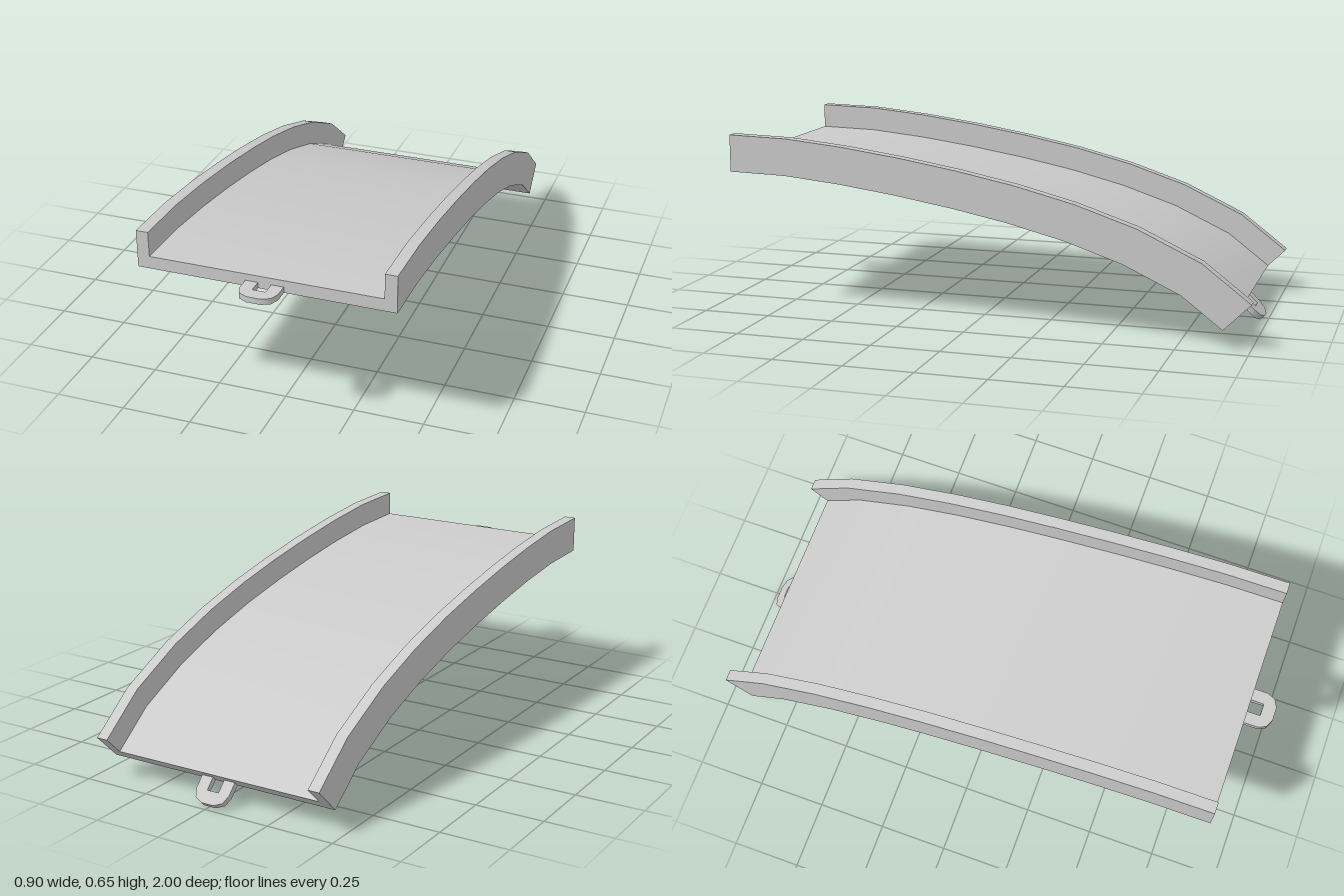
import * as THREE from 'three';
import { toCreasedNormals } from 'three/addons/utils/BufferGeometryUtils.js';

const material = new THREE.MeshStandardMaterial({ color: 0xcccccc });

// Underside of the ramp, front to back, as [z, y]
const PATH = [
  [0.905, 0.52], [0.69, 0.515], [0.48, 0.495], [0.27, 0.467], [0.06, 0.433],
  [-0.145, 0.393], [-0.35, 0.342], [-0.555, 0.275], [-0.76, 0.18], [-0.905, 0.07],
];
const LAST = PATH.length - 1;

// Downward pitch of the ramp at a station
function pitch(i) {
  if (i === 0) return 0;
  if (i === LAST) return Math.PI / 4;
  const [z0, y0] = PATH[i - 1], [z1, y1] = PATH[i + 1];
  return Math.atan2(y0 - y1, z0 - z1);
}

function outline(points) {
  return new THREE.Shape(points.map(([x, y]) => new THREE.Vector2(x, y)));
}

// U-shaped channel, extruded straight and then bent along the path
function channel() {
  const w = 0.452, inner = 0.409, floor = 0.045, rail = 0.135;
  const section = outline([
    [-w, 0], [w, 0], [w, rail], [inner, rail],
    [inner, floor], [-inner, floor], [-inner, rail], [-w, rail],
  ]);
  const geometry = new THREE.ExtrudeGeometry(section, { depth: 1, steps: LAST, bevelEnabled: false });
  const p = geometry.attributes.position;
  for (let k = 0; k < p.count; k++) {
    const i = Math.round((1 - p.getZ(k)) * LAST);
    const a = pitch(i), h = p.getY(k);
    p.setY(k, PATH[i][1] + h * Math.cos(a));
    p.setZ(k, PATH[i][0] - h * Math.sin(a));
  }
  const mesh = new THREE.Mesh(toCreasedNormals(geometry, 0.6), material);
  mesh.name = 'rampChannel';
  return mesh;
}

// Flat connector loop, pointing along +z and open at its root
function connector(name) {
  const half = [[0.023, 0], [0.067, 0], [0.067, 0.05], [0.055, 0.08], [0.025, 0.095]];
  const mirrored = half.map(([x, y]) => [-x, y]).reverse();
  const shape = outline([...half, ...mirrored, [-0.023, 0.048], [0.023, 0.048]]);
  const thickness = 0.021;
  const geometry = new THREE.ExtrudeGeometry(shape, { depth: thickness, bevelEnabled: false });
  geometry.rotateX(Math.PI / 2).translate(0, thickness, 0);
  const mesh = new THREE.Mesh(toCreasedNormals(geometry, 0.9), material);
  mesh.name = name;
  return mesh;
}

export function createModel() {
  const model = new THREE.Group();
  model.name = 'curvedRamp';

  const front = connector('frontConnector');
  front.position.set(0, PATH[0][1], PATH[0][0]);

  // The rear loop continues the slope of the ramp
  const back = connector('backConnector');
  back.position.set(0, PATH[LAST][1], PATH[LAST][0]);
  back.rotation.set(pitch(LAST), Math.PI, 0, 'YXZ');

  model.add(channel(), front, back);
  return model;
}
